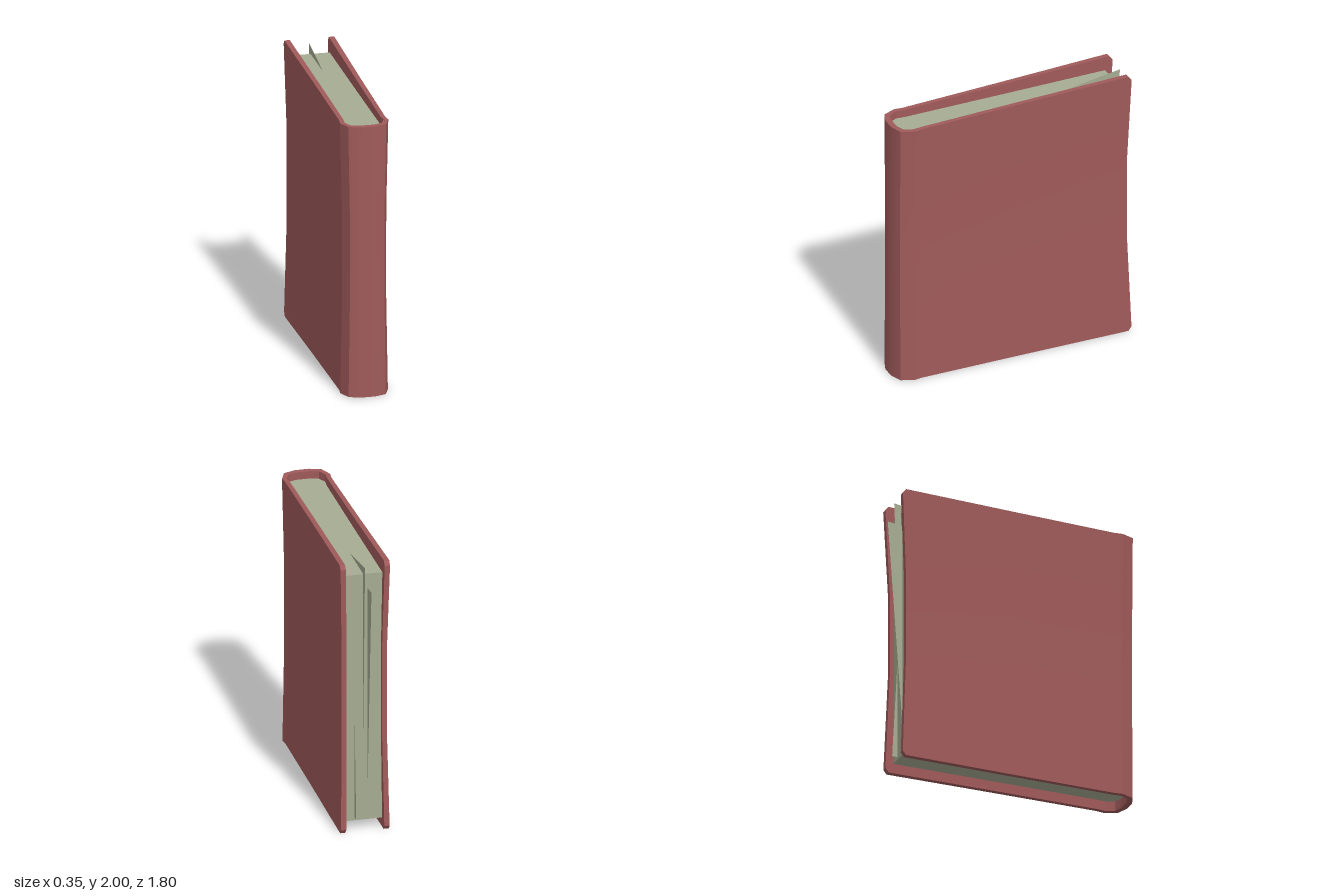
import * as THREE from 'three';
import { toCreasedNormals } from 'three/addons/utils/BufferGeometryUtils.js';

const red = new THREE.MeshStandardMaterial({ color: 0xa05a5a });
const cream = new THREE.MeshStandardMaterial({ color: 0xa6ac92, side: THREE.DoubleSide });

// Half profiles in [x, z], from the open back edge to the rounded spine.
const outer = [[0.175, -0.85], [0.166, 0], [0.162, 0.72], [0.17, 0.78], [0.133, 0.87], [0.05, 0.9]];
const inner = [[0.137, -0.85], [0.132, 0], [0.13, 0.72], [0.136, 0.78], [0.108, 0.84], [0.05, 0.86]];
const block = [[0.137, -0.79], ...inner.slice(1)];

// Heights (0..1) with the narrowing in x and the back edge of the boards in z.
const levels = [
  { t: 0, sx: 0.98, back: -0.825 },
  { t: 0.015, sx: 0.978, back: -0.848 },
  { t: 0.36, sx: 0.91, back: -0.82 },
  { t: 0.68, sx: 0.915, back: -0.82 },
  { t: 0.985, sx: 0.995, back: -0.848 },
  { t: 1, sx: 1, back: -0.825 },
];

// Whole open curve from the -x back edge, round the spine, to the +x back edge.
const across = (half) => [
  ...half.map(([x, z]) => [-x, z]),
  ...[...half].reverse(),
];

// Skins a ring through the levels; place(point, level) gives each position.
function loft(ring, place) {
  const n = ring.length;
  const pos = [];
  const index = [];
  for (const level of levels) for (const p of ring) pos.push(...place(p, level));
  for (let k = 0; k < levels.length - 1; k++) {
    for (let i = 0; i < n; i++) {
      const a = k * n + i;
      const b = k * n + ((i + 1) % n);
      index.push(a, b, b + n, a, b + n, a + n);
    }
  }
  // End caps, turned to face down and up.
  const pts = ring.map(([x, z]) => new THREE.Vector2(x, z));
  const last = (levels.length - 1) * n;
  for (const [a, b, c] of THREE.ShapeUtils.triangulateShape(pts, [])) {
    const down = THREE.ShapeUtils.area([pts[a], pts[b], pts[c]]) > 0;
    const [p, q] = down ? [b, c] : [c, b];
    index.push(a, p, q, last + a, last + q, last + p);
  }
  const g = new THREE.BufferGeometry();
  g.setAttribute('position', new THREE.Float32BufferAttribute(pos, 3));
  g.setIndex(index);
  return toCreasedNormals(g, 0.45);
}

// The top of the cover rises gently from the spine towards the open edge.
const coverTop = (z) => 1.955 + 0.045 * THREE.MathUtils.clamp((0.75 - z) / 1.57, 0, 1);

function looseSheet(x, corners) {
  const g = new THREE.BufferGeometry();
  g.setAttribute('position', new THREE.Float32BufferAttribute(corners.flatMap(([z, y]) => [x, y, z]), 3));
  g.computeVertexNormals();
  return g;
}

export function createModel() {
  const group = new THREE.Group();
  const add = (name, geometry, material) => {
    const mesh = new THREE.Mesh(geometry, material);
    mesh.name = name;
    group.add(mesh);
  };

  // Cover: two boards and the rounded spine in one folded piece
  const coverRing = [...across(outer), ...across(inner).reverse()];
  add('cover', loft(coverRing, ([x, z], { t, sx, back }) => {
    const depth = z < -0.8 ? back : z;
    return [x * sx, t * coverTop(depth), depth];
  }), red);

  // Page block, set in at the top, bottom and open edge
  add('pageBlock', loft(across(block), ([x, z], { t, sx }) => [x * sx, 0.07 + t * 1.83, z]), cream);

  // Loose sheets slipping out of the block, as [z, y] corners
  add('upperLooseSheet', looseSheet(0, [[-0.42, 1.9], [-0.78, 0.47], [-0.84, 1.965]]), cream);
  add('backLooseSheet', looseSheet(-0.03, [[-0.78, 1.79], [-0.785, 0.2], [-0.9, 1.805]]), cream);
  add('lowerLooseSheet', looseSheet(0.06, [[-0.785, 0.9], [-0.78, 0.09], [-0.83, 0.09]]), cream);

  return group;
}
